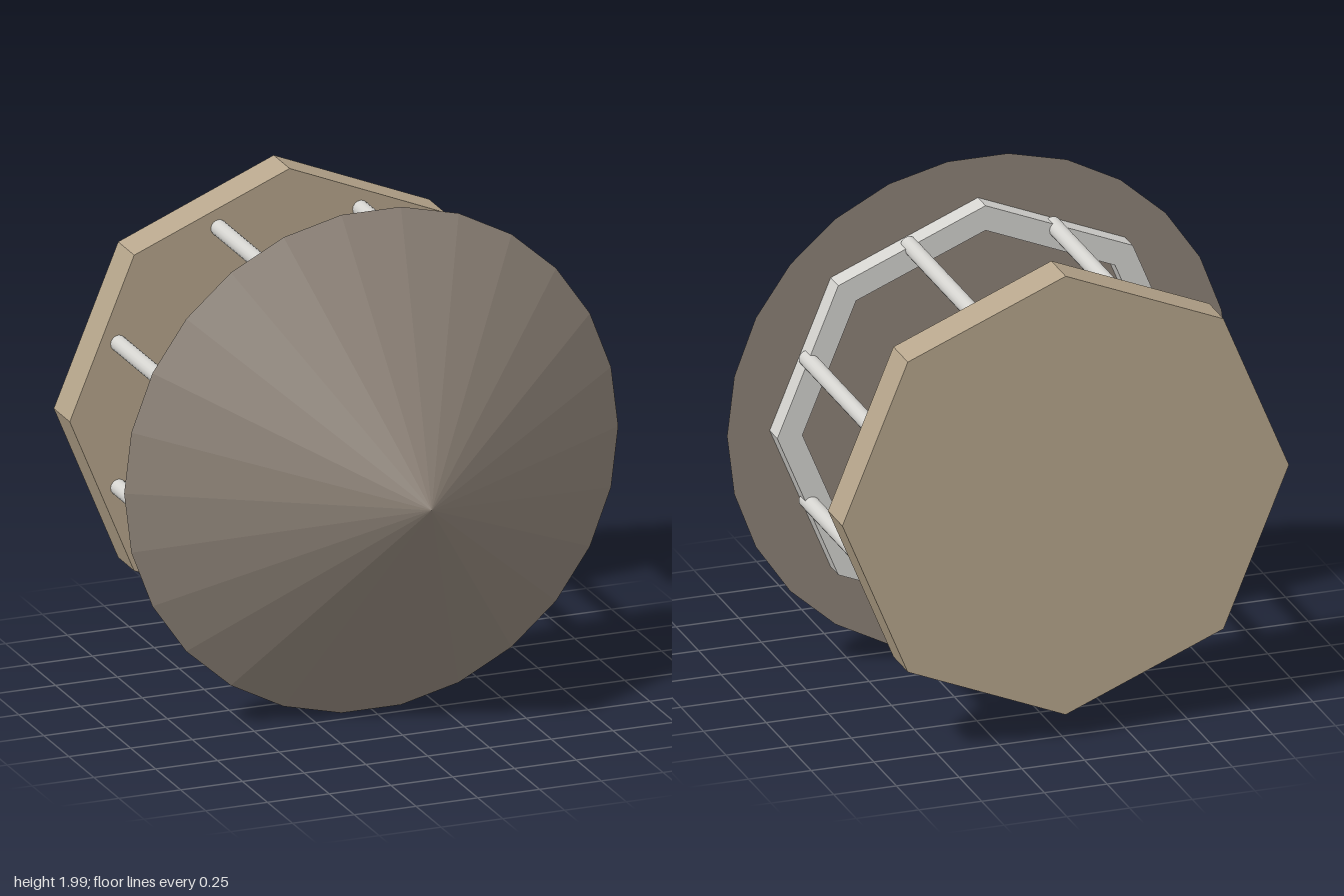
import * as THREE from 'three';

const CENTRE_Y = 1;

const paint = (name, color) => {
  const m = new THREE.MeshStandardMaterial({ color });
  m.name = name;
  return m;
};

// Prism or cone lying along z, from zBack to zFront
function alongZ(rFront, rBack, zBack, zFront, sides, start = 0) {
  const g = new THREE.CylinderGeometry(rFront, rBack, zFront - zBack, sides, 1, false, start);
  g.rotateX(Math.PI / 2);
  g.translate(0, 0, (zBack + zFront) / 2);
  return g;
}

function octagon(target, r) {
  const pts = [];
  for (let i = 0; i < 8; i++) {
    const a = (i * Math.PI) / 4;
    pts.push(new THREE.Vector2(r * Math.cos(a), r * Math.sin(a)));
  }
  return target.setFromPoints(pts);
}

export function createModel() {
  const model = new THREE.Group();
  const coneBrown = paint('dark taupe', 0x8e8378);
  const plateTan = paint('tan', 0xb7a68c);
  const metal = paint('light grey', 0xd5d4d0);
  coneBrown.flatShading = true;
  plateTan.flatShading = true;

  const add = (name, geometry, material) => {
    const mesh = new THREE.Mesh(geometry, material);
    mesh.name = name;
    mesh.position.y = CENTRE_Y;
    model.add(mesh);
    return mesh;
  };

  // Pointed front cone and octagonal back plate
  add('frontCone', alongZ(0, 1, 0.185, 0.79, 26, Math.PI / 2), coneBrown);
  add('backPlate', alongZ(0.89, 0.89, -0.79, -0.63, 8), plateTan);

  // Hollow octagonal ring behind the cone
  const outline = octagon(new THREE.Shape(), 0.83);
  outline.holes.push(octagon(new THREE.Path(), 0.73));
  const ring = new THREE.ExtrudeGeometry(outline, { depth: 0.085, bevelEnabled: false });
  ring.translate(0, 0, 0.1);
  add('octagonRing', ring, metal);

  // Eight rods, one at the middle of each octagon side
  const rod = alongZ(0.032, 0.032, -0.64, 0.155, 16);
  for (let i = 0; i < 8; i++) {
    const a = ((i + 0.5) * Math.PI) / 4;
    const mesh = add('rod' + (i + 1), rod, metal);
    mesh.position.x = 0.75 * Math.cos(a);
    mesh.position.y += 0.75 * Math.sin(a);
  }
  return model;
}
